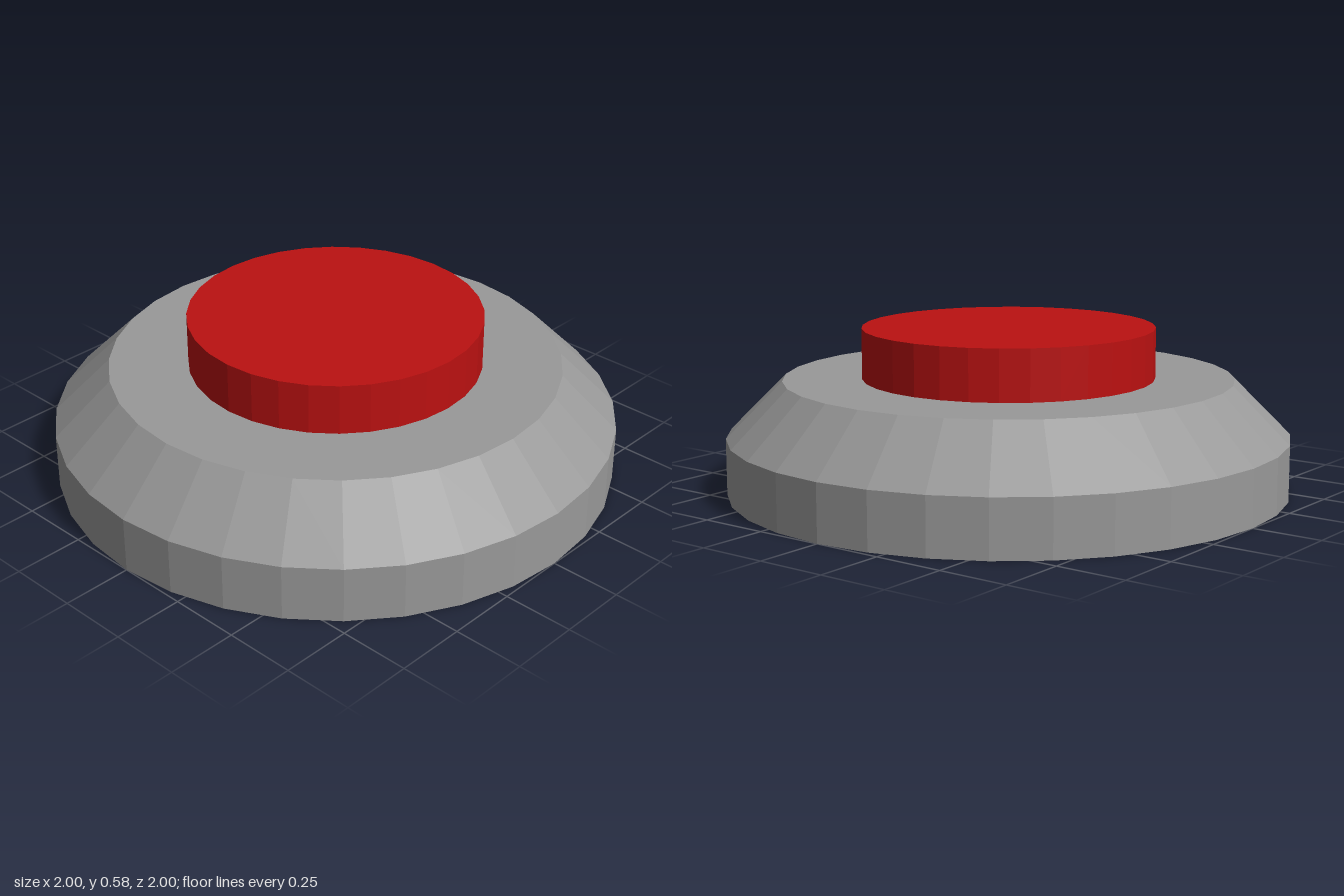
import * as THREE from 'three';

const SIDES = 32;

export function createModel() {
  const model = new THREE.Group();
  model.name = 'pushButton';

  // Housing: straight rim, sloped shoulder and flat top
  const profile = [[0, 0], [1, 0], [1, 0.2], [0.8, 0.4], [0, 0.4]]
    .map(([r, y]) => new THREE.Vector2(r, y));
  const housing = new THREE.Mesh(
    new THREE.LatheGeometry(profile, SIDES),
    new THREE.MeshStandardMaterial({ color: 0x999999, flatShading: true })
  );
  housing.name = 'housing';
  model.add(housing);

  // Red button cap resting on the housing
  const height = 0.18;
  const cap = new THREE.Mesh(
    new THREE.CylinderGeometry(0.52, 0.52, height, SIDES),
    new THREE.MeshStandardMaterial({ color: 0xbb1111, flatShading: true })
  );
  cap.name = 'buttonCap';
  cap.position.y = 0.4 + height / 2;
  model.add(cap);

  return model;
}
